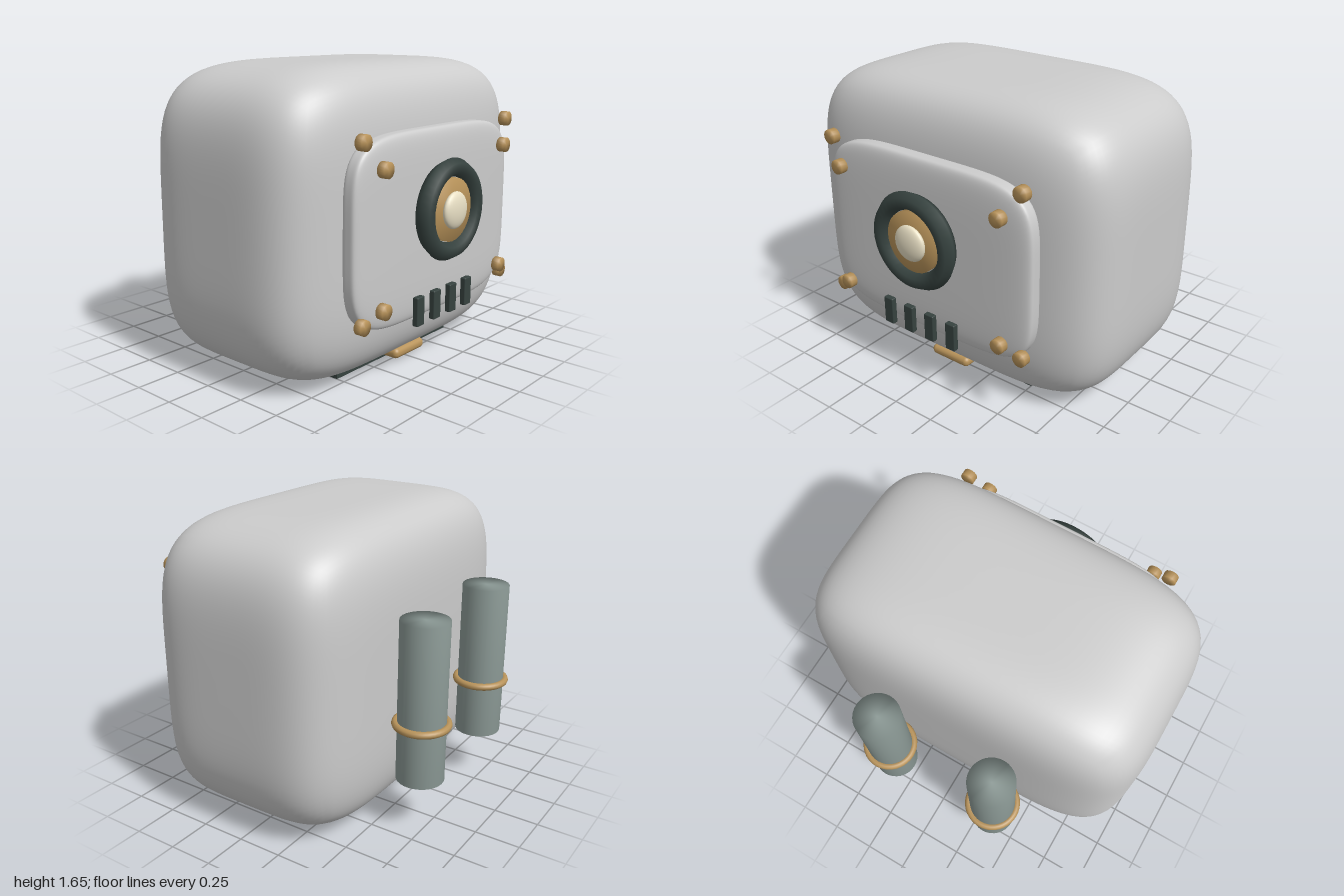
import * as THREE from 'three';
import { mergeVertices } from 'three/addons/utils/BufferGeometryUtils.js';
import { RoundedBoxGeometry } from 'three/addons/geometries/RoundedBoxGeometry.js';

const material = (color) => new THREE.MeshStandardMaterial({ color });

// Share vertices across edges so that the shading runs smoothly over them.
function soften(geometry) {
  geometry.deleteAttribute('normal');
  geometry.deleteAttribute('uv');
  const merged = mergeVertices(geometry, 1e-4);
  merged.computeVertexNormals();
  return merged;
}

// Pillow-like block: a gridded cube pushed onto a superellipsoid, then scaled.
function pillow(hx, hy, hz, power, segments) {
  const geometry = new THREE.BoxGeometry(2, 2, 2, segments, segments, segments);
  const pos = geometry.attributes.position;
  const v = new THREE.Vector3();
  for (let i = 0; i < pos.count; i++) {
    v.fromBufferAttribute(pos, i);
    const sum = [v.x, v.y, v.z].reduce((s, c) => s + Math.abs(c) ** power, 0);
    v.multiplyScalar(sum ** (-1 / power));
    pos.setXYZ(i, v.x * hx, v.y * hy, v.z * hz);
  }
  return soften(geometry);
}

// Disc whose axis points forward.
function disc(radius, depth, sides) {
  return soften(new THREE.CylinderGeometry(radius, radius, depth, sides).rotateX(Math.PI / 2));
}

export function createModel() {
  const model = new THREE.Group();
  model.name = 'backpackUnit';
  const grey = material(0xcccccc);
  const brass = material(0xb8935a);
  const dark = material(0x36423f);
  const steel = material(0x8c9a96);
  const cream = material(0xe8dfc4);

  function add(name, geometry, mat, x, y, z) {
    const mesh = new THREE.Mesh(geometry, mat);
    mesh.name = name;
    mesh.position.set(x, y, z);
    model.add(mesh);
    return mesh;
  }

  // Main shell and raised front panel
  add('body', pillow(1, 0.823, 0.605, 4.8, 32), grey, 0, 0.827, 0.055);
  add('frontPanel', pillow(0.688, 0.498, 0.065, 5, 28), grey, 0, 0.817, 0.68);

  // Round port: dark ring, brass plate and domed lens
  add('portRing', new THREE.TorusGeometry(0.223, 0.05, 6, 40), dark, 0, 0.885, 0.797);
  add('portPlate', disc(0.17, 0.06, 32), brass, 0, 0.885, 0.785);
  const lens = add('portLens', new THREE.SphereGeometry(0.1, 28, 16), cream, 0, 0.885, 0.828);
  lens.scale.z = 0.35;

  // Two sets of corner bolts
  const boltGeometry = disc(0.041, 0.042, 20);
  for (const sx of [-1, 1]) {
    for (const y of [0.4, 1.3]) add('outerBolt', boltGeometry, brass, sx * 0.638, y, 0.733);
    for (const y of [0.465, 1.165]) add('innerBolt', boltGeometry, brass, sx * 0.538, y, 0.786);
  }

  // Row of vent slats
  const slat = new RoundedBoxGeometry(0.063, 0.157, 0.033, 2, 0.006);
  for (let i = 0; i < 4; i++) add('ventSlat', slat, dark, -0.23 + i * 0.148, 0.383, 0.774);

  // Latch under the front edge and plate under the base
  add('bottomLatch', new RoundedBoxGeometry(0.265, 0.06, 0.14, 4, 0.028), brass, 0, 0.047, 0.495);
  add('basePlate', new THREE.BoxGeometry(1, 0.03, 0.78), dark, 0, 0.015, 0.06);

  // Rear canisters with clamp rings
  const canister = soften(new THREE.CylinderGeometry(0.13, 0.13, 0.89, 32));
  const clamp = new THREE.TorusGeometry(0.139, 0.02, 10, 40).rotateX(Math.PI / 2);
  for (const sx of [-1, 1]) {
    add('canister', canister, steel, sx * 0.35, 0.735, -0.705);
    add('canisterClamp', clamp, brass, sx * 0.35, 0.61, -0.705);
  }

  return model;
}
